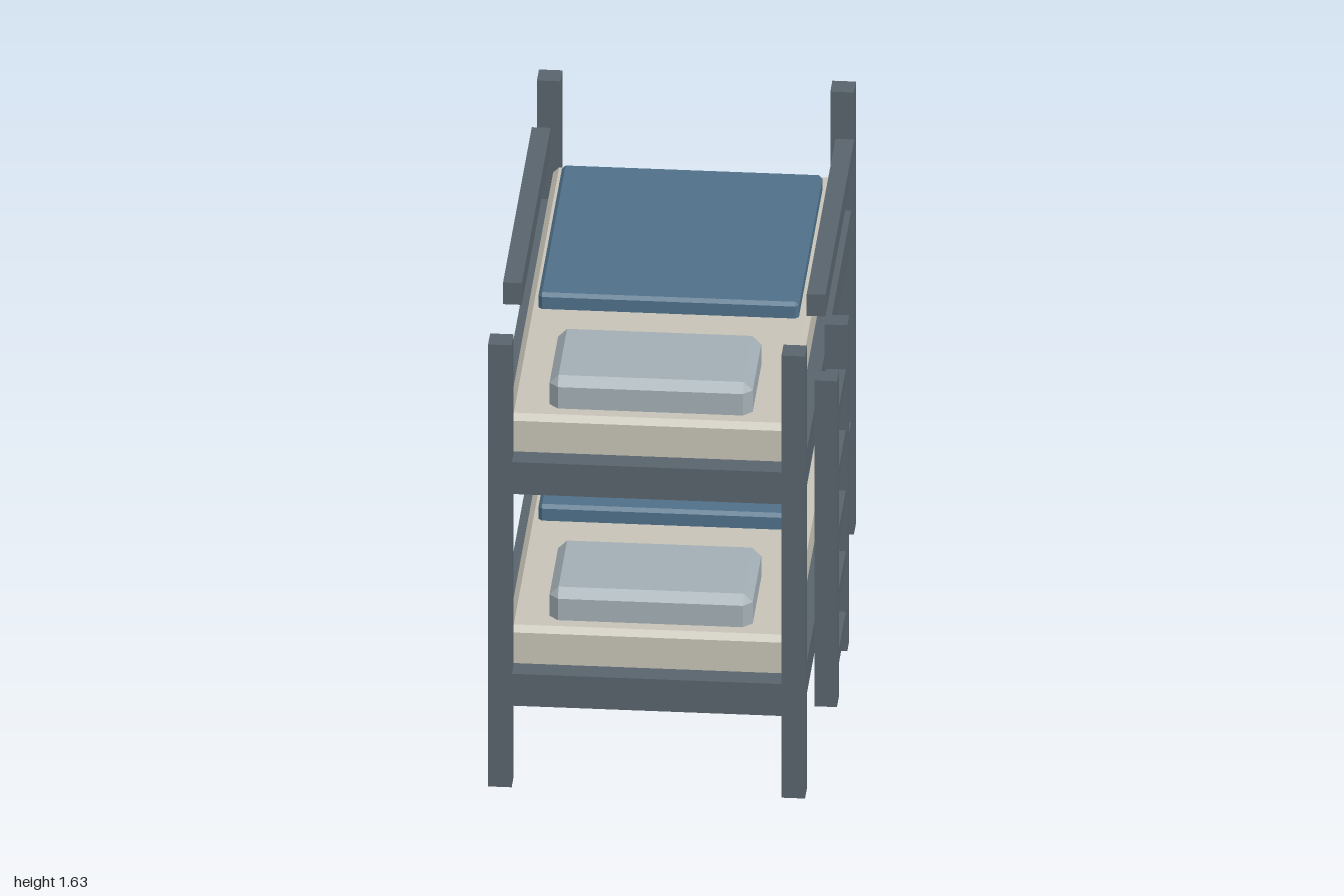
import * as THREE from 'three';
import { ConvexGeometry } from 'three/addons/geometries/ConvexGeometry.js';

const material = (name, color) => {
  const m = new THREE.MeshStandardMaterial({ color });
  m.name = name;
  return m;
};

// Box with every edge cut at 45 degrees, spanning min..max
function chamferedBox([x0, y0, z0], [x1, y1, z1], c) {
  const half = [(x1 - x0) / 2, (y1 - y0) / 2, (z1 - z0) / 2];
  const points = [];
  for (const sx of [-1, 1]) for (const sy of [-1, 1]) for (const sz of [-1, 1]) {
    for (let face = 0; face < 3; face++) {
      const h = half.map((v, i) => (i === face ? v : v - c));
      points.push(new THREE.Vector3(sx * h[0], sy * h[1], sz * h[2]));
    }
  }
  return new ConvexGeometry(points).translate((x0 + x1) / 2, (y0 + y1) / 2, (z0 + z1) / 2);
}

export function createModel() {
  const model = new THREE.Group();
  model.name = 'bunkBed';
  const frame = material('slate frame', 0x59646c);
  const linen = material('cream mattress', 0xc6c2b6);
  const blue = material('blue blanket', 0x4f7089);
  const pale = material('pale grey pillow', 0xa2aeb4);
  const midX = -0.032; // the ladder pushes the bed off centre

  const add = (name, geometry, mat, parent = model) => {
    const mesh = new THREE.Mesh(geometry, mat);
    mesh.name = name;
    parent.add(mesh);
    return mesh;
  };
  const box = (name, min, max, parent) => {
    const g = new THREE.BoxGeometry(max[0] - min[0], max[1] - min[1], max[2] - min[2]);
    g.translate((min[0] + max[0]) / 2, (min[1] + max[1]) / 2, (min[2] + max[2]) / 2);
    return add(name, g, frame, parent);
  };

  // Corner posts and upper guard rails
  for (const s of [-1, 1]) {
    const px = midX + s * 0.485;
    for (const pz of [-0.96, 0.96]) {
      box('cornerPost', [px - 0.039, 0, pz - 0.04], [px + 0.039, 1.635, pz + 0.04]);
    }
    const gx = midX + s * 0.502;
    box('guardRail', [gx - 0.031, 1.43, -0.825], [gx + 0.031, 1.51, 0.305]);
  }

  // Two identical bunks, measured from the underside of the frame
  for (const [name, y] of [['lowerBunk', 0.297], ['upperBunk', 1.08]]) {
    const bunk = new THREE.Group();
    bunk.name = name;
    bunk.position.y = y;
    model.add(bunk);
    box('bedFrame', [midX - 0.515, 0, -0.99], [midX + 0.515, 0.118, 0.99], bunk);
    add('mattress', chamferedBox([-0.5, 0.09, -0.912], [0.435, 0.251, 0.912], 0.02), linen, bunk);
    add('blanket', chamferedBox([-0.463, 0.23, -0.81], [0.398, 0.307, 0.135], 0.012), blue, bunk);
    add('pillow', chamferedBox([-0.368, 0.21, 0.455], [0.304, 0.36, 0.85], 0.03), pale, bunk);
  }

  // Ladder on the left side
  const ladder = new THREE.Group();
  ladder.name = 'ladder';
  model.add(ladder);
  for (const z of [0.17, 0.578]) {
    box('ladderPost', [0.49, 0.145, z - 0.036], [0.565, 1.35, z + 0.036], ladder);
  }
  for (let i = 0; i < 5; i++) {
    const y = 0.238 + i * 0.224;
    box('rung', [0.495, y, 0.18], [0.56, y + 0.052, 0.57], ladder);
  }
  return model;
}
